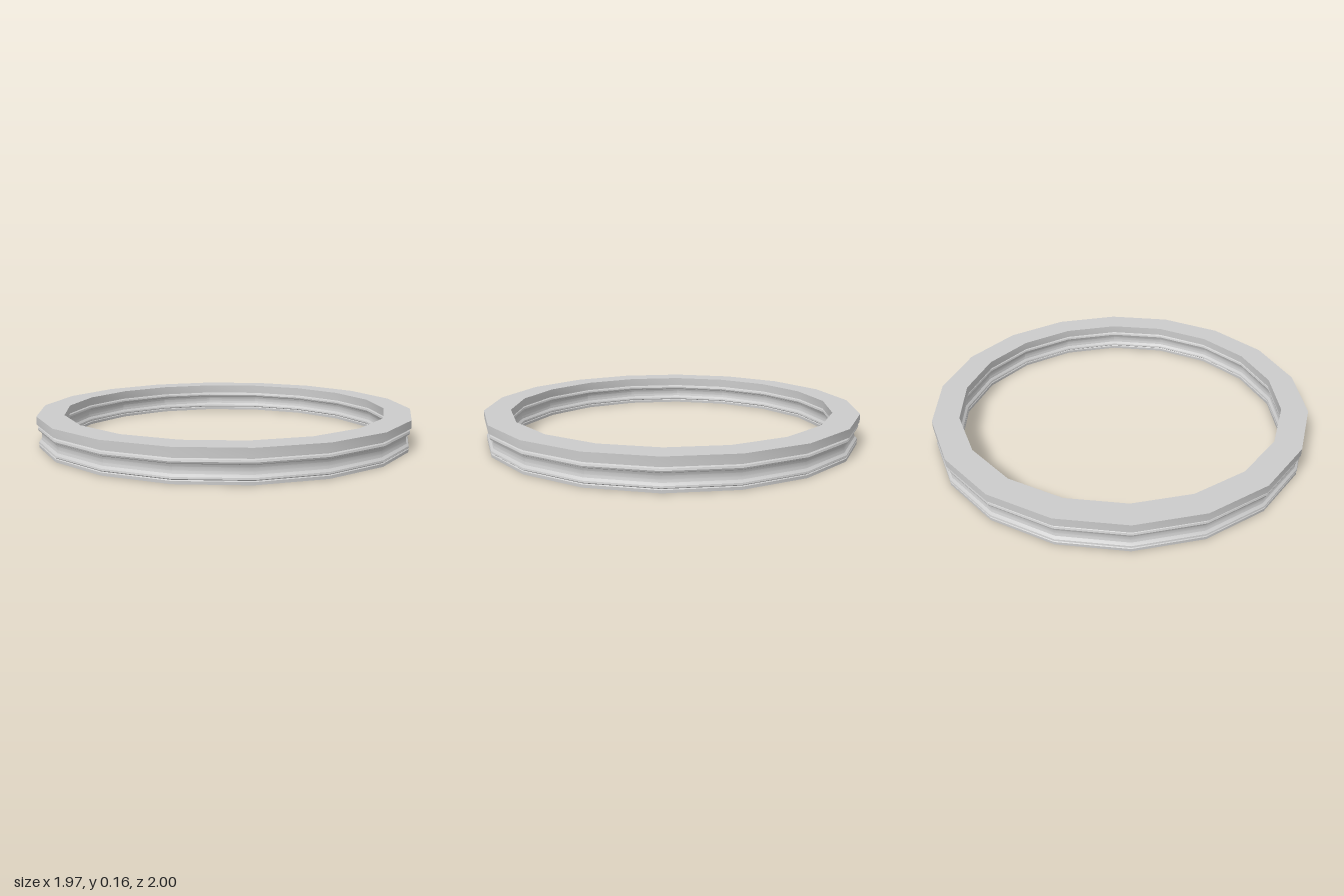
import * as THREE from 'three';
import { toCreasedNormals } from 'three/addons/utils/BufferGeometryUtils.js';

const SIDES = 18;
const MIDDLE = 0.93; // radius halfway through the ring wall

export function createModel() {
  const model = new THREE.Group();

  // Moulding from bottom to top: [half thickness, height]
  const moulding = [
    [0.061, 0], [0.061, 0.014], [0.057, 0.018], [0.063, 0.023], [0.061, 0.031],
    [0.05, 0.042], [0.046, 0.055], [0.046, 0.072], [0.051, 0.085],
    [0.062, 0.09], [0.065, 0.098], [0.062, 0.107],
    [0.055, 0.112], [0.055, 0.12],
    [0.07, 0.12], [0.07, 0.162],
  ];

  // Outer face upwards, then the mirrored inner face downwards, closed below
  const outer = moulding.map(([t, y]) => new THREE.Vector2(MIDDLE + t, y));
  const inner = moulding.map(([t, y]) => new THREE.Vector2(MIDDLE - t, y)).reverse();
  const profile = [...outer, ...inner, outer[0].clone()];

  const geometry = toCreasedNormals(new THREE.LatheGeometry(profile, SIDES), 0.45);
  const ring = new THREE.Mesh(geometry, new THREE.MeshStandardMaterial({ color: 0xcccccc }));
  ring.name = 'mouldedRing';
  model.add(ring);
  return model;
}
